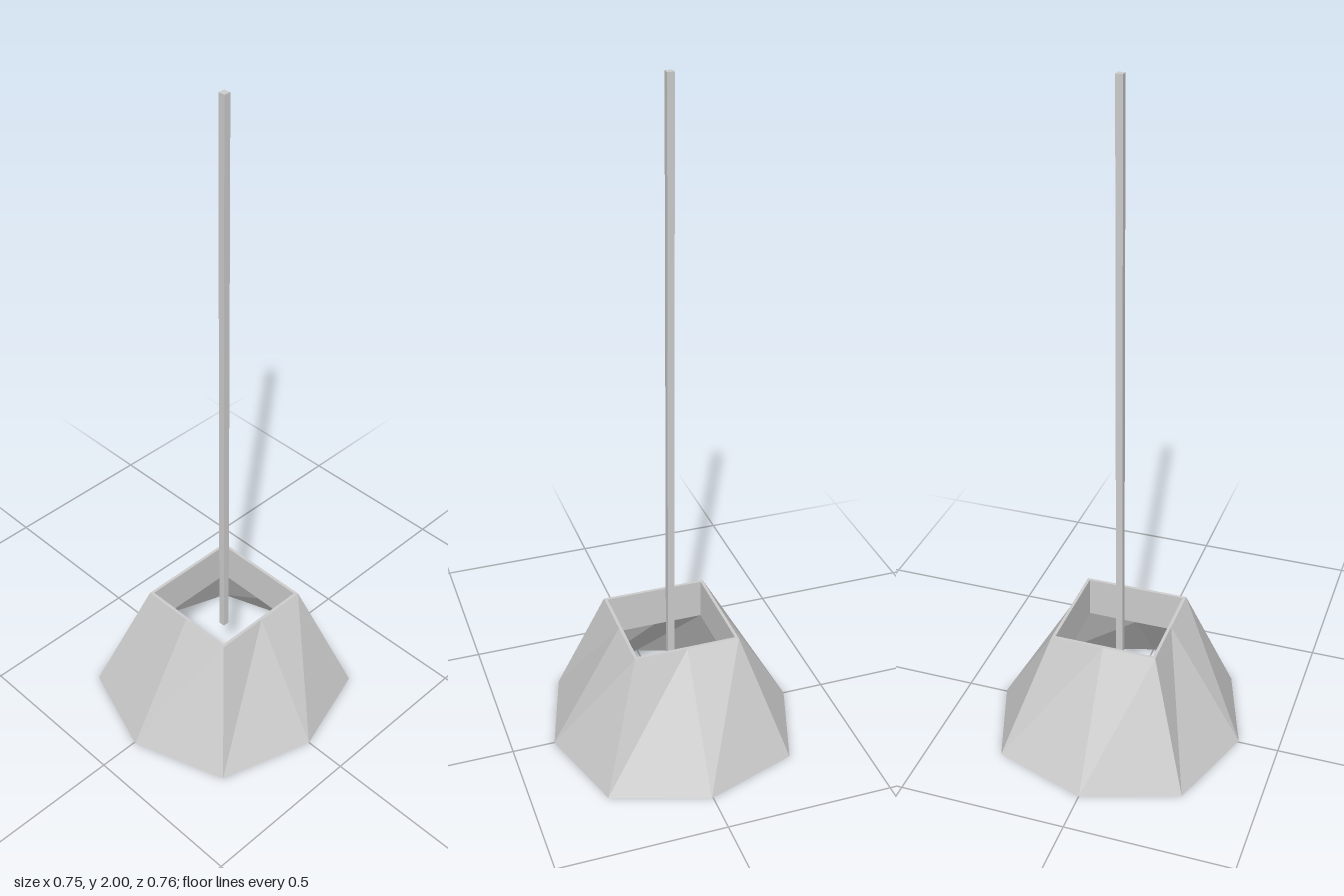
import * as THREE from 'three';

const CENTER_X = 0.005;

// Eight points around a section: corners at (±corner, ±corner), side middles at ±mid
function ring(y, corner, midX, midZ, midOffset = 0) {
  const points = [];
  for (let i = 0; i < 8; i++) {
    const sx = Math.sign(Math.round(2 * Math.cos(i * Math.PI / 4)));
    const sz = Math.sign(Math.round(2 * Math.sin(i * Math.PI / 4)));
    const isCorner = i % 2 === 1;
    const x = isCorner ? sx * corner : sx * midX + (sx ? midOffset : 0);
    const z = sz * (isCorner ? corner : midZ);
    points.push([x + CENTER_X, y, z]);
  }
  return points;
}

// Joins consecutive rings with quads
function loft(rings) {
  const positions = [];
  for (let r = 0; r < rings.length - 1; r++) {
    const lower = rings[r], upper = rings[r + 1];
    for (let i = 0; i < 8; i++) {
      const j = (i + 1) % 8;
      positions.push(...lower[j], ...lower[i], ...upper[i]);
      positions.push(...lower[j], ...upper[i], ...upper[j]);
    }
  }
  const geometry = new THREE.BufferGeometry();
  geometry.setAttribute('position', new THREE.Float32BufferAttribute(positions, 3));
  geometry.computeVertexNormals();
  return geometry;
}

export function createModel() {
  const group = new THREE.Group();
  group.name = 'pendantLamp';
  const material = new THREE.MeshStandardMaterial({ color: 0xcccccc, flatShading: true });

  // Hollow shade: octagonal foot, square top, straight inner collar, flared inside
  const foot = ring(0, 0.281, 0.3725, 0.378, -CENTER_X);
  const shade = new THREE.Mesh(loft([
    foot,
    ring(0.375, 0.158, 0.158, 0.158),
    ring(0.375, 0.149, 0.149, 0.149),
    ring(0.25, 0.149, 0.149, 0.149),
    ring(0, 0.265, 0.3515, 0.357, -CENTER_X),
    foot,
  ]), material);
  shade.name = 'shade';
  group.add(shade);

  // Square rod hanging down into the collar
  const rodBottom = 0.25;
  const rod = new THREE.Mesh(new THREE.BoxGeometry(0.02, 2 - rodBottom, 0.02), material);
  rod.name = 'rod';
  rod.position.set(CENTER_X, (2 + rodBottom) / 2, 0);
  group.add(rod);

  return group;
}
